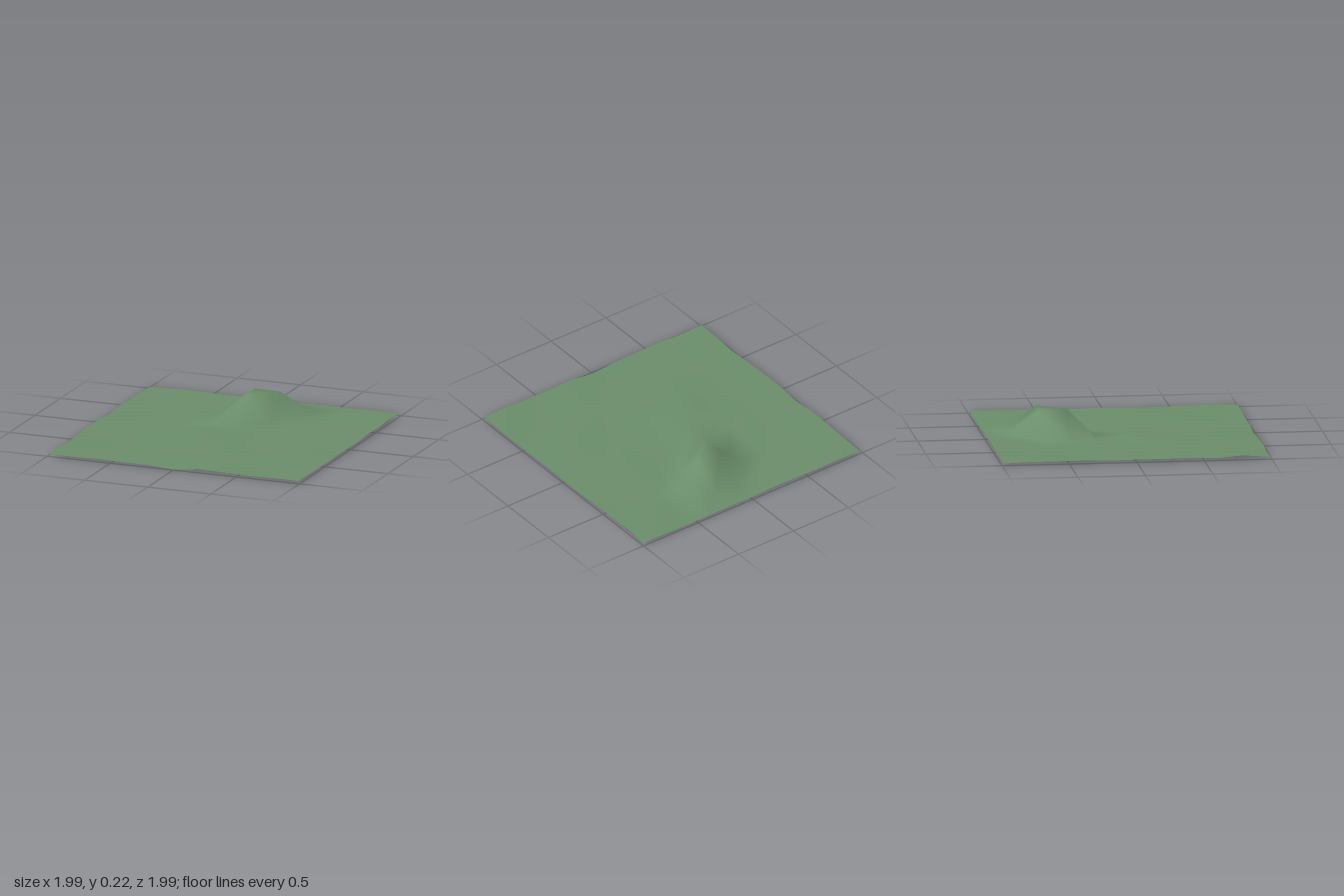
import * as THREE from 'three';

// Small repeatable noise in -1..1
function makeNoise(seed) {
  let s = seed;
  return () => {
    s = (s * 16807) % 2147483647;
    return (s / 2147483647) * 2 - 1;
  };
}

export function createModel() {
  const group = new THREE.Group();
  group.name = 'terrain';

  const cells = 10;
  const geometry = new THREE.PlaneGeometry(1.98, 1.98, cells, cells);
  geometry.rotateX(-Math.PI / 2);
  const pos = geometry.attributes.position;

  // Grid points with a height of their own: [x, z, height]
  const heights = [
    [0, -0.4, 0.215], [0, -0.6, 0.208], [0.2, -0.6, 0.206], // hill
    [-0.2, 0.2, 0.047], [-0.2, 0, 0.043],                   // low swell
    [0.8, -0.8, 0.035], [-1, 0.8, 0.03], [0.2, 1, 0.024],   // small bumps
    [0, 1, 0], [0.6, 0.8, 0.008], [0.4, 0.2, 0.01],         // small dips
  ];
  const key = (x, z) => `${Math.round(x * 5)},${Math.round(z * 5)}`;
  const special = new Map(heights.map(([x, z, h]) => [key(x, z), h]));

  // Gentle roughness over the whole sheet
  const noise = makeNoise(4711);
  for (let i = 0; i < pos.count; i++) {
    const x = pos.getX(i), z = pos.getZ(i);
    const rough = 0.018 + 0.005 * noise();
    const dx = 0.008 * noise(), dz = 0.005 * noise();
    const h = special.get(key(x, z));
    pos.setXYZ(
      i,
      THREE.MathUtils.clamp(x + dx, -1, 1),
      h ?? rough,
      THREE.MathUtils.clamp(z + dz, -1, 1)
    );
  }
  geometry.computeVertexNormals();

  const ground = new THREE.Mesh(
    geometry,
    new THREE.MeshStandardMaterial({ color: 0x6b8e6b, side: THREE.DoubleSide })
  );
  ground.name = 'groundWithHill';
  group.add(ground);
  return group;
}
